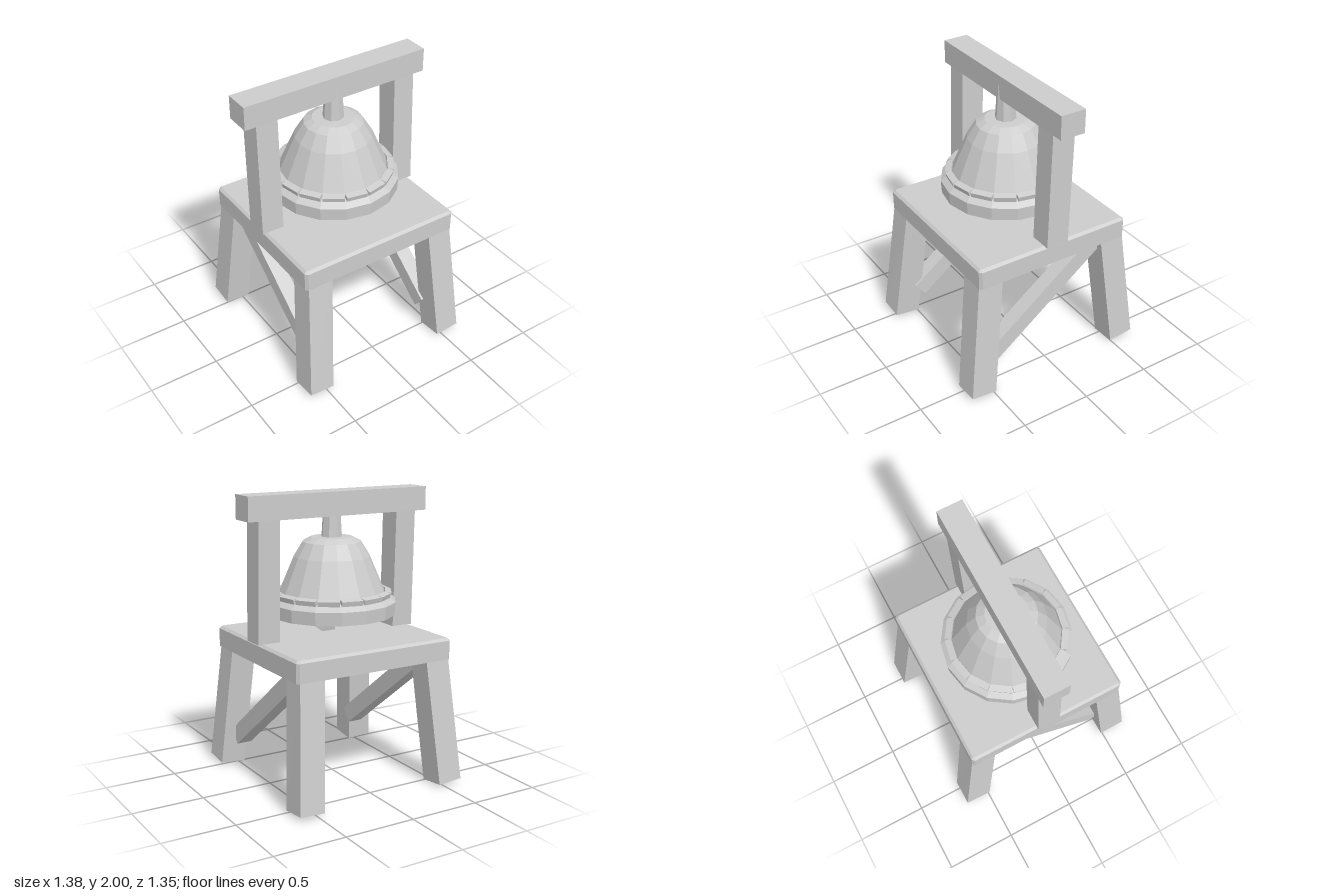
import * as THREE from 'three';

// Closed solid from stacked rings of [x, y, z] corners, bottom to top, running from +z towards +x
function loft(rings) {
  const n = rings[0].length;
  const positions = [];
  const tri = (a, b, c) => positions.push(...a, ...b, ...c);
  for (let r = 0; r < rings.length - 1; r++) {
    const lo = rings[r], hi = rings[r + 1];
    for (let i = 0; i < n; i++) {
      const j = (i + 1) % n;
      tri(lo[i], lo[j], hi[j]);
      tri(lo[i], hi[j], hi[i]);
    }
  }
  const bottom = rings[0], top = rings[rings.length - 1];
  for (let i = 1; i < n - 1; i++) {
    tri(bottom[0], bottom[i + 1], bottom[i]);
    tri(top[0], top[i], top[i + 1]);
  }
  const geometry = new THREE.BufferGeometry();
  geometry.setAttribute('position', new THREE.Float32BufferAttribute(positions, 3));
  geometry.computeVertexNormals();
  return geometry;
}

// Four-cornered ring; yAt may slope the ring
function rectRing(xa, xb, za, zb, yAt) {
  const x0 = Math.min(xa, xb), x1 = Math.max(xa, xb);
  const z0 = Math.min(za, zb), z1 = Math.max(za, zb);
  return [[x1, z1], [x1, z0], [x0, z0], [x0, z1]].map(([x, z]) => [x, yAt(x, z), z]);
}

// Rectangle with cut corners
function cutRing(w, d, c, y) {
  return [[w - c, d], [w, d - c], [w, c - d], [w - c, -d],
    [c - w, -d], [-w, c - d], [-w, d - c], [c - w, d]].map(([x, z]) => [x, y, z]);
}

export function createModel() {
  const model = new THREE.Group();
  model.name = 'bellStand';
  const grey = new THREE.MeshStandardMaterial({ color: 0xcccccc, flatShading: true });
  grey.name = 'grey';

  const add = (name, geometry, x = 0, y = 0, z = 0, parent = model) => {
    const mesh = new THREE.Mesh(geometry, grey);
    mesh.name = name;
    mesh.position.set(x, y, z);
    parent.add(mesh);
    return mesh;
  };

  // Platform with chamfered upper edges
  add('platform', loft([
    cutRing(0.595, 0.577, 0.018, 0.875),
    cutRing(0.595, 0.577, 0.018, 1.005),
    cutRing(0.577, 0.559, 0.01, 1.022),
  ]));

  // Splayed legs, cut square to their own axis
  for (const sx of [-1, 1]) for (const sz of [-1, 1]) {
    const foot = (x, z) => 0.005 + (Math.abs(x) - 0.455) * 0.065 + (Math.abs(z) - 0.49) * 0.11;
    add('leg', loft([
      rectRing(sx * 0.455, sx * 0.635, sz * 0.49, sz * 0.675, foot),
      rectRing(sx * 0.393, sx * 0.573, sz * 0.393, sz * 0.573, () => 0.9),
    ]));
  }

  // Diagonal braces and uprights on each side
  for (const sx of [-1, 1]) {
    const brace = add('brace', new THREE.BoxGeometry(0.11, 0.12, 1.13), sx * 0.475, 0.546, 0.028);
    brace.rotation.x = Math.atan2(0.6, 0.8);
    add('post', loft([
      rectRing(sx * 0.453, sx * 0.612, -0.085, 0.078, () => 1.02),
      rectRing(sx * 0.453, sx * 0.608, -0.112, 0.053, () => 1.86),
    ]));
  }

  // Top beam
  add('beam', new THREE.BoxGeometry(1.375, 0.163, 0.18), 0, 1.9185, -0.035);

  // Tapered hanger
  add('hanger', new THREE.CylinderGeometry(0.054, 0.073, 0.31, 8), 0, 1.82, 0);

  // Hollow bell
  const profile = [
    [0, 1.6], [0.15, 1.6], [0.22, 1.53], [0.31, 1.32], [0.39, 1.16],
    [0.44, 1.16], [0.445, 1.25], [0.4, 1.285], [0.37, 1.3], [0.36, 1.325],
    [0.262, 1.555], [0.2, 1.655], [0.143, 1.685], [0, 1.688],
  ].map(([r, y]) => new THREE.Vector2(r, y));
  add('bell', new THREE.LatheGeometry(profile, 16));

  // Ring of small blocks above the lip
  const ring = new THREE.Group();
  ring.name = 'bellBand';
  model.add(ring);
  for (let i = 0; i < 16; i++) {
    const a = (i + 0.5) * Math.PI / 8;
    const block = add('bandBlock', new THREE.BoxGeometry(0.146, 0.034, 0.045),
      Math.sin(a) * 0.382, 1.302, Math.cos(a) * 0.382, ring);
    block.rotation.set(0.25, a, 0, 'YXZ');
  }

  // Clapper swung towards the front
  const clapper = new THREE.Group();
  clapper.name = 'clapper';
  clapper.position.set(0, 1.067, 0.113);
  clapper.rotation.x = -Math.atan2(0.55, 0.84);
  model.add(clapper);
  const head = add('clapperHead', new THREE.CylinderGeometry(0.03, 0.1, 0.17, 6), 0, 0.085, 0, clapper);
  head.rotation.y = Math.PI / 6;
  add('clapperRod', new THREE.CylinderGeometry(0.025, 0.03, 0.4, 6), 0, 0.35, 0, clapper);

  return model;
}
